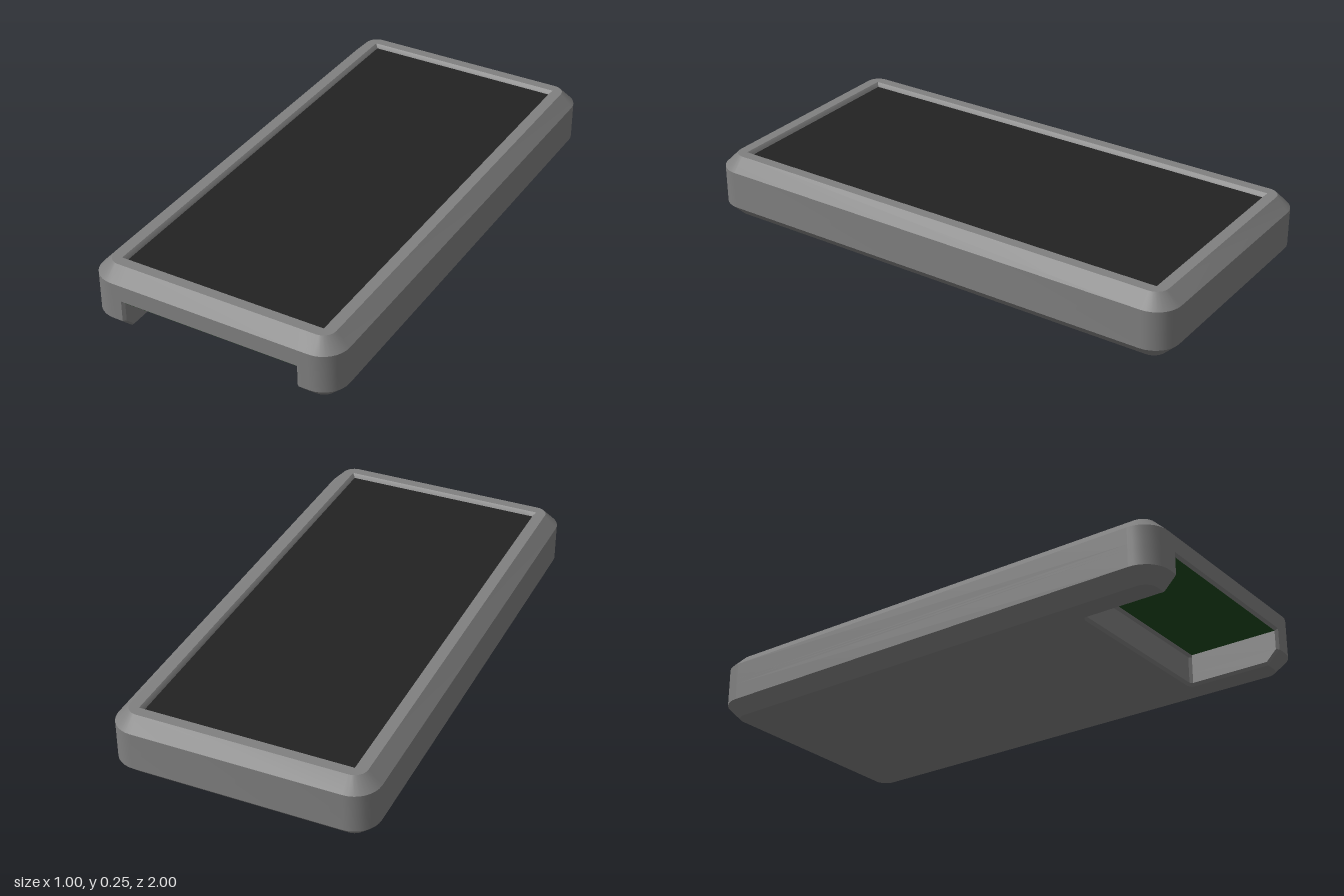
import * as THREE from 'three';
import { toCreasedNormals } from 'three/addons/utils/BufferGeometryUtils.js';

const ARC_STEPS = 8;
const MOUTH = 0.36; // half width of the port opening

// One horizontal outline: rounded rectangle whose front edge carries the port notch.
function ring({ y, hx, hz, r, inner = MOUTH, lip = 0, wall = hz, bevel = 0 }) {
  const pts = [];
  const corners = [[1, 1], [-1, 1], [-1, -1], [1, -1]];
  corners.forEach(([sx, sz], c) => {
    for (let i = 0; i <= ARC_STEPS; i++) {
      const a = (c + i / ARC_STEPS) * Math.PI / 2;
      pts.push([sx * (hx - r) + r * Math.cos(a), sz * (hz - r) + r * Math.sin(a)]);
    }
    if (c === 0) {
      const half = [[MOUTH, hz], [inner, hz - lip], [inner, wall + bevel], [0.34, wall]];
      pts.push(...half, ...half.slice().reverse().map(([x, z]) => [-x, z]));
    }
  });
  return pts.map(([x, z]) => new THREE.Vector3(x, y, z));
}

// Skin between successive outlines, leaving out collapsed triangles.
function loft(rings) {
  const pos = [];
  const tri = new THREE.Triangle();
  const add = (a, b, c) => {
    if (tri.set(a, b, c).getArea() > 1e-8) [a, b, c].forEach(p => pos.push(p.x, p.y, p.z));
  };
  for (let j = 0; j < rings.length - 1; j++) {
    const lo = rings[j], hi = rings[j + 1];
    lo.forEach((a, i) => {
      const k = (i + 1) % lo.length;
      add(a, hi[i], hi[k]);
      add(a, hi[k], lo[k]);
    });
  }
  const geo = new THREE.BufferGeometry();
  geo.setAttribute('position', new THREE.Float32BufferAttribute(pos, 3));
  return toCreasedNormals(geo, Math.PI / 6);
}

export function createModel() {
  const group = new THREE.Group();
  const caseMat = new THREE.MeshStandardMaterial({ color: 0x808080 });
  const screenMat = new THREE.MeshStandardMaterial({ color: 0x222222 });
  const boardMat = new THREE.MeshStandardMaterial({ color: 0x1f4a1f });
  const add = (name, geo, mat) => {
    const mesh = new THREE.Mesh(geo, mat);
    mesh.name = name;
    group.add(mesh);
    return mesh;
  };

  const outer = (y, inset, notch) =>
    ring({ y, hx: 0.5 - inset, hz: 1 - inset, r: 0.1 - inset, ...notch });
  const port = { inner: 0.35, lip: 0.01, wall: 0.63, bevel: 0.01 };

  // Case: chamfered shell, notch up to y = 0.135, shallow screen recess on top
  const rings = [
    outer(0, 0.05, { inner: 0.36, wall: 0.62, bevel: 0.01 }),
    outer(0.01, 0.04, port),
    outer(0.05, 0, port),
    outer(0.115, 0, port),
    outer(0.125, 0, { ...port, wall: 0.64, bevel: 0 }),
    outer(0.125, 0, { ...port, wall: 0.99, bevel: 0 }),
    outer(0.135, 0),
    outer(0.2, 0),
    outer(0.25, 0.05),
    ring({ y: 0.25, hx: 0.41, hz: 0.91, r: 0 }),
    ring({ y: 0.24, hx: 0.4, hz: 0.9, r: 0 }),
    ring({ y: 0.23, hx: 0.395, hz: 0.895, r: 0 }),
  ];
  add('case', loft(rings), caseMat);

  // Flat underside with the notch cut out of its front edge
  const base = new THREE.Shape(rings[0].map(p => new THREE.Vector2(p.x, p.z)));
  add('underside', new THREE.ShapeGeometry(base).rotateX(Math.PI / 2), caseMat);

  // Screen lying in the recess
  add('screen', new THREE.BoxGeometry(0.8, 0.02, 1.8), screenMat).position.y = 0.225;

  // Circuit board forming the ceiling of the port notch
  add('circuitBoard', new THREE.BoxGeometry(0.7, 0.008, 0.35), boardMat)
    .position.set(0, 0.1285, 0.815);

  return group;
}
